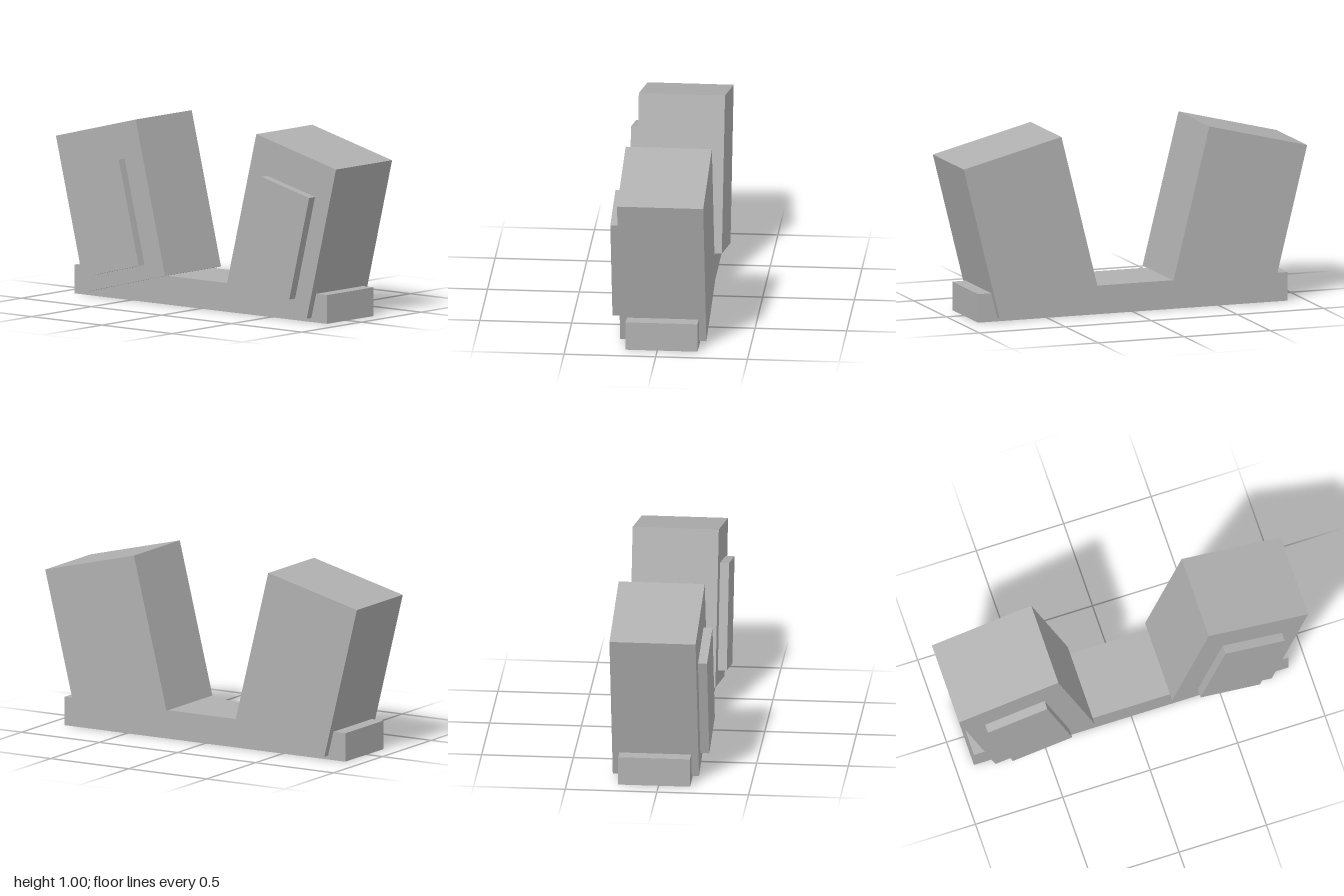
import * as THREE from 'three';

const TILT = THREE.MathUtils.degToRad(14);

export function createModel() {
  const model = new THREE.Group();
  const grey = new THREE.MeshStandardMaterial({ color: 0xb0b0b0 });
  grey.name = 'plain grey';

  const box = (name, size, position, tilt = 0) => {
    const mesh = new THREE.Mesh(new THREE.BoxGeometry(...size), grey);
    mesh.name = name;
    mesh.position.set(...position);
    mesh.rotation.z = tilt;
    model.add(mesh);
  };

  // Long bar joining both blocks
  box('base', [1.8, 0.158, 0.392], [0, 0.079, -0.024]);

  // Mirrored blocks leaning outward, each with a raised front panel
  for (const [side, s] of [['left', 1], ['right', -1]]) {
    box(`${side}Block`, [0.586, 0.864, 0.47], [s * 0.61, 0.512, -0.024], -s * TILT);
    box(`${side}Panel`, [0.35, 0.588, 0.049], [s * 0.608, 0.453, 0.2355], -s * TILT);
  }
  return model;
}
